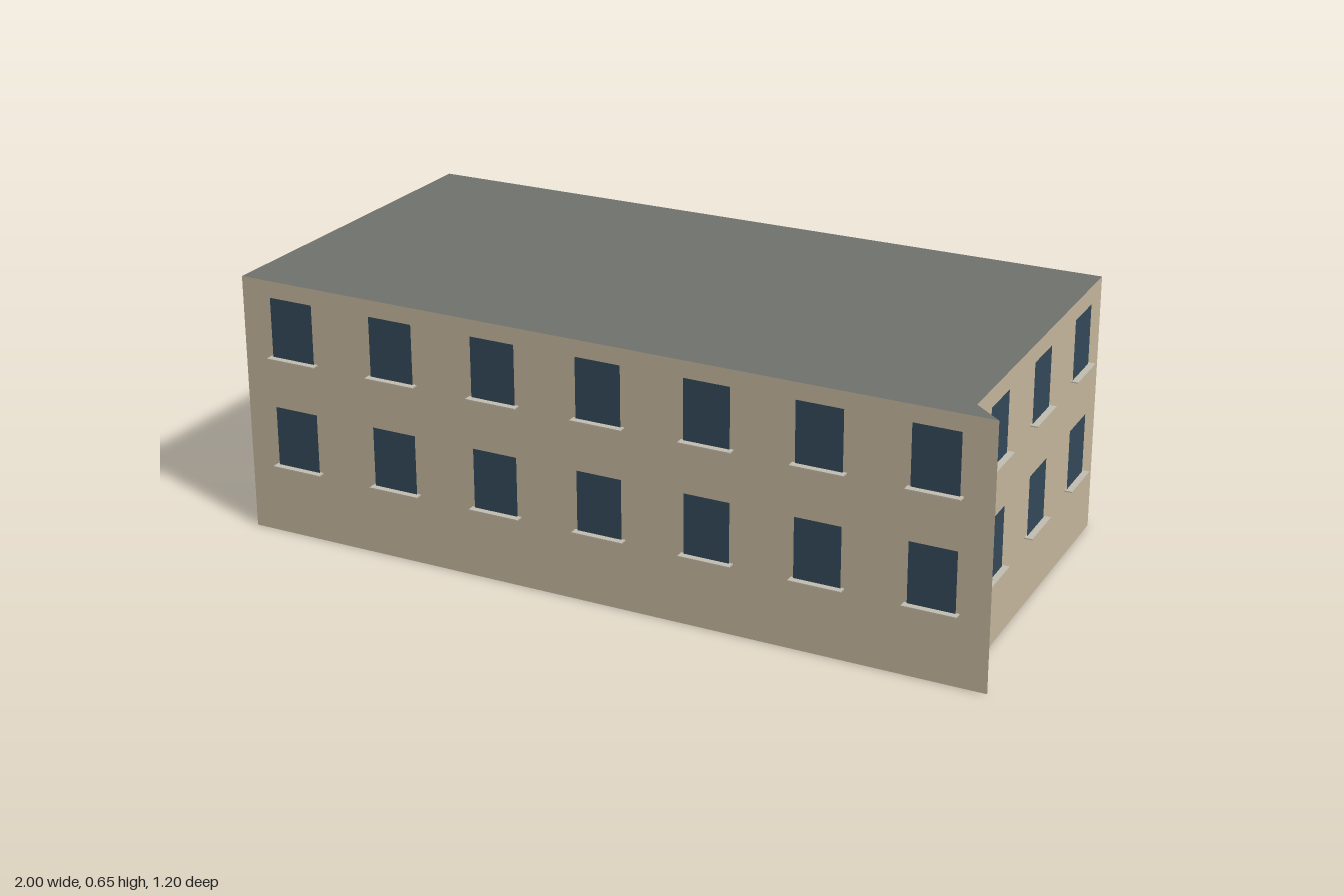
import * as THREE from 'three';

const HEIGHT = 0.65;
const WIN_W = 0.115, WIN_H = 0.15;
const FLOORS = [0.18, 0.46]; // window bottoms

// Footprint corners [x, z] and the window columns on the wall that starts there
const PLAN = [
  { name: 'frontWall', at: [-0.89, 0.592], columns: 7 },
  { name: 'cornerFin', at: [1.0, 0.287], columns: 0 },
  { name: 'leftWall', at: [0.918, 0.24], columns: 3 },
  { name: 'backWall', at: [0.758, -0.6], columns: 6 },
  { name: 'rightWall', at: [-0.987, -0.277], columns: 3 },
];

const paint = (color) => new THREE.MeshStandardMaterial({ color });

export function createModel() {
  const building = new THREE.Group();
  building.name = 'building';
  const wall = paint(0xc8b9a0), roof = paint(0x70736d);
  const glass = paint(0x344a5a), stone = paint(0xc4bfb2);

  // Solid body: flat roof and floor on the caps, walls on the sides
  const shape = new THREE.Shape(PLAN.map(({ at }) => new THREE.Vector2(at[0], -at[1])));
  const bodyGeo = new THREE.ExtrudeGeometry(shape, { depth: HEIGHT, bevelEnabled: false });
  bodyGeo.rotateX(-Math.PI / 2);
  const body = new THREE.Mesh(bodyGeo, [roof, wall]);
  body.name = 'wallsAndRoof';
  building.add(body);

  // Windows with thin sills, spaced evenly along each wall
  const paneGeo = new THREE.PlaneGeometry(WIN_W, WIN_H);
  const sillGeo = new THREE.BoxGeometry(0.13, 0.003, 0.02);
  PLAN.forEach(({ name, at, columns }, i) => {
    if (!columns) return;
    const next = PLAN[(i + 1) % PLAN.length].at;
    const dx = next[0] - at[0], dz = next[1] - at[1];
    const length = Math.hypot(dx, dz);
    const side = new THREE.Group(); // local x runs along the wall, z points outward
    side.name = name + 'Windows';
    side.position.set(at[0], 0, at[1]);
    side.rotation.y = Math.atan2(-dz, dx);
    for (const y of FLOORS) {
      for (let c = 0; c < columns; c++) {
        const x = ((c + 0.5) / columns) * length;
        const pane = new THREE.Mesh(paneGeo, glass);
        pane.name = 'windowPane';
        pane.position.set(x, y + WIN_H / 2, 0.004);
        const sill = new THREE.Mesh(sillGeo, stone);
        sill.name = 'windowSill';
        sill.position.set(x, y - 0.0015, 0.01);
        side.add(pane, sill);
      }
    }
    building.add(side);
  });

  return building;
}
